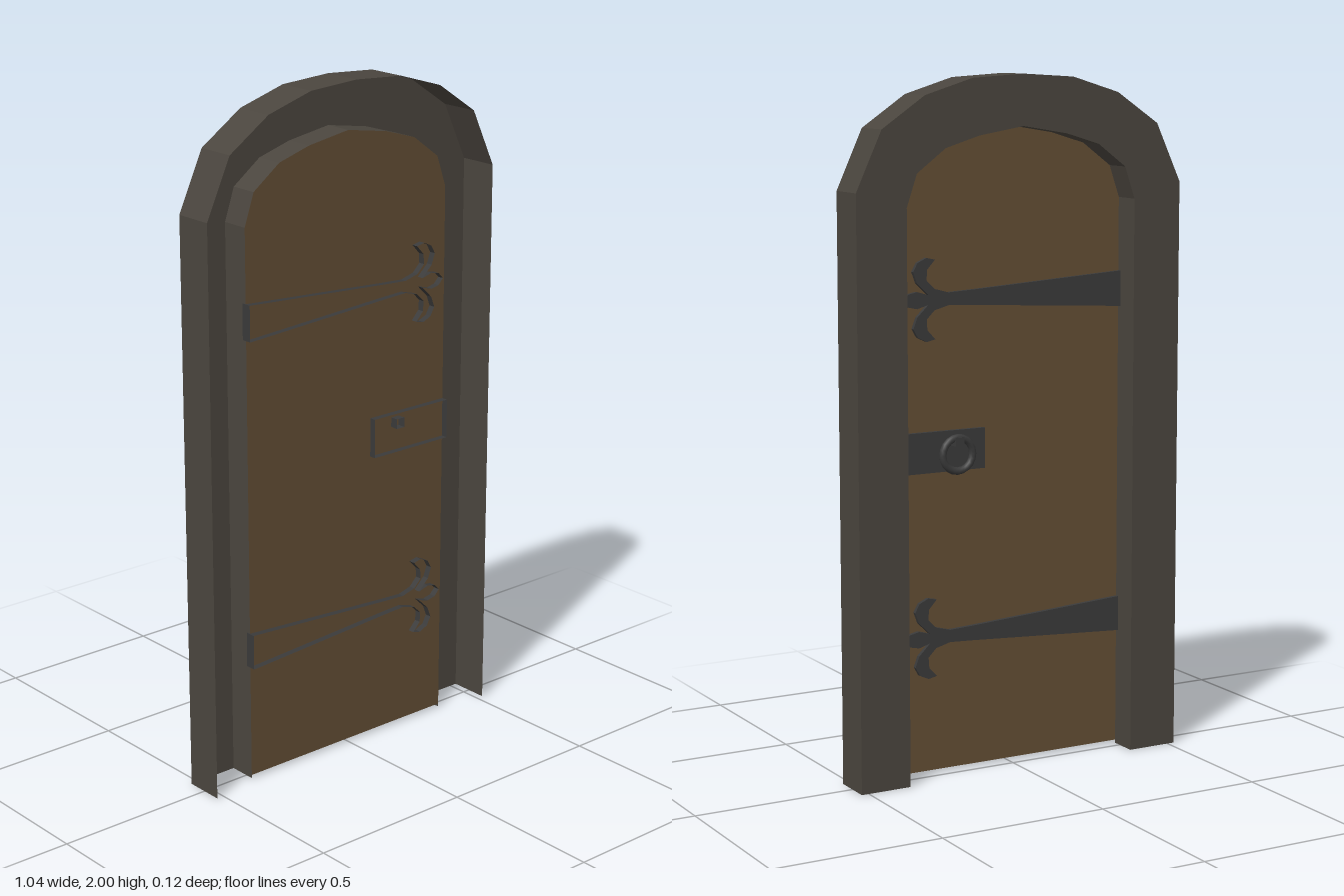
import * as THREE from 'three';

const paint = (color) => new THREE.MeshStandardMaterial({ color, side: THREE.DoubleSide });
const stone = paint(0x4a453e), wood = paint(0x624d34), iron = paint(0x3a3a3a);

const toPoints = (list) => list.map(([x, y]) => new THREE.Vector2(x, y));

function addMesh(parent, name, geometry, material) {
  const mesh = new THREE.Mesh(geometry, material);
  mesh.name = name;
  parent.add(mesh);
  return mesh;
}

// Flat face at depth z, looking towards -z
function backFace(points, z) {
  const geometry = new THREE.ShapeGeometry(new THREE.Shape(points));
  geometry.index.array.reverse();
  for (let i = 0; i < geometry.attributes.normal.count; i++) geometry.attributes.normal.setXYZ(i, 0, 0, -1);
  return geometry.translate(0, 0, z);
}

// Wall along a path, from depth z0 to z1, with flat segments
function wall(points, z0, z1, closed = false) {
  const positions = [];
  const count = closed ? points.length : points.length - 1;
  for (let i = 0; i < count; i++) {
    const a = points[i], b = points[(i + 1) % points.length];
    positions.push(a.x, a.y, z0, b.x, b.y, z0, b.x, b.y, z1, a.x, a.y, z0, b.x, b.y, z1, a.x, a.y, z1);
  }
  const geometry = new THREE.BufferGeometry();
  geometry.setAttribute('position', new THREE.Float32BufferAttribute(positions, 3));
  geometry.computeVertexNormals();
  return geometry;
}

// Iron fitting: back plate with a rim, open at the front
function fitting(name, points, z0, z1) {
  const group = new THREE.Group();
  group.name = name;
  addMesh(group, name + 'Plate', backFace(points, z0), iron);
  addMesh(group, name + 'Rim', wall(points, z0, z1, true), iron);
  return group;
}

// Arch outline from bottom right, over the top, to bottom left
function arch(half, bottom) {
  const right = [[half[0][0], bottom], ...half];
  const left = right.slice(0, -1).reverse().map(([x, y]) => [-x, y]);
  return toPoints([...right, ...left]);
}

// Strap hinge outline ending in two horns and a middle leaf
function hingeOutline() {
  const s = new THREE.Shape();
  s.moveTo(-0.37, 0.052);
  s.lineTo(-0.37, -0.052);
  const lower = (k) => [
    [0.12, 0.022 * k], [0.2, 0.018 * k], [0.245, 0.03 * k], [0.27, 0.055 * k], [0.268, 0.085 * k],
    [0.243, 0.112 * k], [0.27, 0.118 * k], [0.298, 0.105 * k], [0.312, 0.08 * k], [0.3, 0.048 * k],
    [0.265, 0.014 * k], [0.3, 0.024 * k], [0.328, 0.018 * k],
  ];
  const points = [...lower(-1), [0.345, 0], ...lower(1).reverse()];
  points.forEach(([x, y]) => s.lineTo(x, y));
  return s.getPoints();
}

export function createModel() {
  const model = new THREE.Group();
  model.name = 'archedDoor';

  const outer = arch([[0.522, 1.685], [0.443, 1.855], [0.31, 1.945], [0.162, 1.99], [0, 2]], 0);
  const innerHalf = [[0.368, 1.64], [0.336, 1.733], [0.246, 1.8], [0.14, 1.832], [0, 1.855]];
  const inner = arch(innerHalf, 0);
  const doorZ = 0.025;

  // Stone surround, hollow on its front
  const frame = new THREE.Group();
  frame.name = 'frame';
  addMesh(frame, 'frameFace', backFace([...outer, ...inner.slice().reverse()], -0.06), stone);
  addMesh(frame, 'frameOuterWall', wall(outer, -0.06, 0.06), stone);
  addMesh(frame, 'frameInnerWall', wall(inner.slice().reverse(), -0.06, doorZ), stone);
  model.add(frame);

  // Wooden door leaf
  addMesh(model, 'doorLeaf', backFace(arch(innerHalf, 0.01), doorZ), wood);

  // Strap hinges
  for (const [name, y] of [['lowerHinge', 0.403], ['upperHinge', 1.375]]) {
    const hinge = fitting(name, hingeOutline(), 0.013, 0.045);
    hinge.position.y = y;
    model.add(hinge);
  }

  // Lock plate
  const plate = toPoints([[0.085, 0.883], [0.368, 0.883], [0.368, 1.0], [0.085, 1.0]]);
  model.add(fitting('lockPlate', plate, 0.013, 0.045));

  // Square post through the door that carries the ring
  const post = new THREE.CylinderGeometry(0.021, 0.018, 0.065, 4, 1, true);
  post.rotateY(Math.PI / 4).rotateX(Math.PI / 2).translate(0.18, 0.97, 0.0175);
  addMesh(model, 'ringPost', post.toNonIndexed(), iron).geometry.computeVertexNormals();
  const postEnd = new THREE.PlaneGeometry(0.026, 0.026).rotateY(Math.PI).translate(0.18, 0.97, -0.015);
  addMesh(model, 'ringPostEnd', postEnd, iron);

  // Pull ring
  const ring = addMesh(model, 'pullRing', new THREE.TorusGeometry(0.048, 0.011, 8, 20), iron);
  ring.position.set(0.18, 0.932, 0);

  return model;
}
